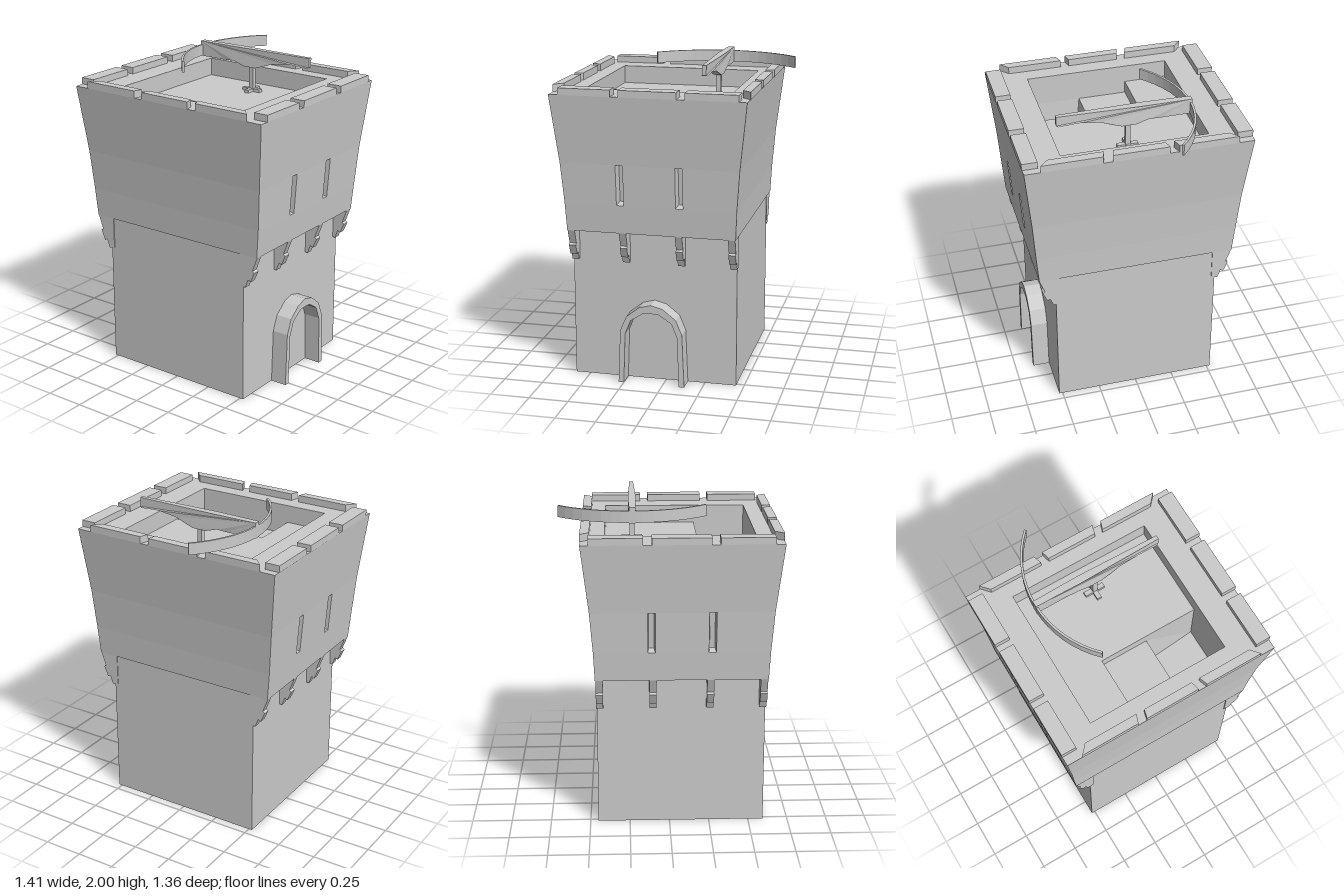
import * as THREE from 'three';

const ZC = 0.0725; // the tower stands slightly forward of the origin
const RIM = 1.835, FLOOR = 1.72, LEDGE = 1.64, PIT = 1.35;
const lerp = THREE.MathUtils.lerp;
const mat = new THREE.MeshStandardMaterial({ color: 0xcccccc, flatShading: true });

function add(parent, geometry, name) {
  const mesh = new THREE.Mesh(geometry, mat);
  mesh.name = name;
  parent.add(mesh);
  return mesh;
}

// Collects quads, each turned to face the given direction
class Quads {
  constructor() { this.pos = []; }
  quad(a, b, c, d, dir) {
    const [A, B, C, D] = [a, b, c, d].map((p) => new THREE.Vector3(...p));
    const n = C.clone().sub(A).cross(D.clone().sub(B));
    const order = n.dot(new THREE.Vector3(...dir)) > 0 ? [A, B, C, A, C, D] : [A, C, B, A, D, C];
    order.forEach((p) => this.pos.push(p.x, p.y, p.z));
  }
  flat(x0, x1, z0, z1, y, up = 1) {
    this.quad([x0, y, z0], [x1, y, z0], [x1, y, z1], [x0, y, z1], [0, up, 0]);
  }
  wallX(x, z0, z1, y0, y1, dir) {
    this.quad([x, y0, z0], [x, y0, z1], [x, y1, z1], [x, y1, z0], [dir, 0, 0]);
  }
  wallZ(z, x0, x1, y0, y1, dir) {
    this.quad([x0, y0, z], [x1, y0, z], [x1, y1, z], [x0, y1, z], [0, 0, dir]);
  }
  geometry() {
    const g = new THREE.BufferGeometry();
    g.setAttribute('position', new THREE.Float32BufferAttribute(this.pos, 3));
    g.computeVertexNormals();
    return g;
  }
}

// Polygon in x,z raised from y0 to y1
function prism(points, y0, y1) {
  const shape = new THREE.Shape(points.map((p) => new THREE.Vector2(...p)));
  return new THREE.ExtrudeGeometry(shape, { depth: y1 - y0, bevelEnabled: false })
    .rotateX(Math.PI / 2).translate(0, y1, 0);
}

// Polygon in x,y with thickness along z
function slab(points, z0, z1) {
  const shape = new THREE.Shape(points.map((p) => new THREE.Vector2(...p)));
  return new THREE.ExtrudeGeometry(shape, { depth: z1 - z0, bevelEnabled: false }).translate(0, 0, z0);
}

// Flared upper storey, with window slits cut in both x sides
function upperWalls() {
  const q = new Quads();
  const rows = [[0.975, 0.625, 0.53], [1.155, 0.64, 0.538], [1.41, 0.659, 0.557], [RIM, 0.703, 0.606]];
  const slits = [-0.135, -0.09, 0.235, 0.28];
  for (let i = 0; i < 3; i++) {
    const [y0, x0, d0] = rows[i], [y1, x1, d1] = rows[i + 1];
    for (const s of [1, -1]) {
      q.quad([-x0, y0, ZC + s * d0], [x0, y0, ZC + s * d0],
        [x1, y1, ZC + s * d1], [-x1, y1, ZC + s * d1], [0, 0, s]);
      const low = [ZC - d0, ...slits, ZC + d0], high = [ZC - d1, ...slits, ZC + d1];
      for (let j = 0; j < 5; j++) {
        const ring = [[s * x0, y0, low[j]], [s * x0, y0, low[j + 1]],
          [s * x1, y1, high[j + 1]], [s * x1, y1, high[j]]];
        if (i !== 1 || j % 2 === 0) { q.quad(...ring, [s, 0, 0]); continue; }
        // tapered recess of a window slit
        const mz = (low[j] + low[j + 1]) / 2, my = (y0 + y1) / 2;
        const inner = ring.map(([x, y, z]) => [x - s * 0.06, lerp(y, my, 0.1), lerp(z, mz, 0.3)]);
        q.quad(...inner, [s, 0, 0]);
        ring.forEach((p, k) => {
          const m = (k + 1) % 4;
          q.quad(p, ring[m], inner[m], inner[k],
            [0, my - (p[1] + ring[m][1]) / 2, mz - (p[2] + ring[m][2]) / 2]);
        });
      }
    }
  }
  q.flat(-0.625, 0.625, ZC - 0.53, ZC + 0.53, 0.975, -1);
  return q.geometry();
}

// Rim, sunken roof floor and stairwell
function roof() {
  const q = new Quads();
  const [x0, x1, z0, z1] = [-0.46, 0.455, -0.39, 0.525];
  const [X, Z0, Z1] = [0.703, ZC - 0.606, ZC + 0.606];
  q.flat(-X, x0, Z0, Z1, RIM);
  q.flat(x1, X, Z0, Z1, RIM);
  q.flat(x0, x1, Z0, z0, RIM);
  q.flat(x0, x1, z1, Z1, RIM);
  q.wallX(x0, z0, z1, FLOOR, RIM, 1);
  q.wallX(x1, z0, z1, FLOOR, RIM, -1);
  q.wallZ(z0, x0, x1, FLOOR, RIM, 1);
  q.wallZ(z1, x0, x1, FLOOR, RIM, -1);
  const [sx, px, sz] = [-0.19, 0.12, 0.195];
  q.flat(x0, sx, z0, z1, FLOOR);
  q.flat(sx, x1, z0, sz, FLOOR);
  // upper landing of the stairwell
  q.flat(sx, px, sz, z1, LEDGE);
  q.wallX(sx, sz, z1, LEDGE, FLOOR, 1);
  q.wallX(x1, sz, z1, LEDGE, FLOOR, -1);
  q.wallZ(sz, sx, x1, LEDGE, FLOOR, 1);
  q.wallZ(z1, sx, x1, LEDGE, FLOOR, -1);
  // pit with tapering walls
  const top = [[px, LEDGE, sz], [x1, LEDGE, sz], [x1, LEDGE, z1], [px, LEDGE, z1]];
  const bottom = [[0.15, PIT, 0.22], [x1, PIT, sz], [x1, PIT, z1], [0.15, PIT, 0.505]];
  const facing = [[0, 0, 1], [-1, 0, 0], [0, 0, -1], [1, 0, 0]];
  facing.forEach((dir, k) => {
    const m = (k + 1) % 4;
    q.quad(top[k], top[m], bottom[m], bottom[k], dir);
  });
  q.quad(...bottom, [0, 1, 0]);
  return q.geometry();
}

function addBattlements(group) {
  for (const s of [1, -1]) {
    // merlons along the x sides
    for (const [a, b] of [[-0.485, -0.16], [-0.11, 0.245], [0.295, 0.62]]) {
      add(group, prism([[s * 0.61, a], [s * 0.706, a], [s * 0.706, b], [s * 0.61, b]], RIM, 1.877), 'sideMerlon');
    }
    // merlons along the front and back, with slanted ends
    const outer = ZC + s * 0.608, inner = ZC + s * 0.552;
    add(group, prism([[-0.175, outer], [0.175, outer], [0.16, inner], [-0.16, inner]], RIM, 1.88), 'middleMerlon');
    for (const m of [1, -1]) {
      add(group, prism([[m * 0.605, outer], [m * 0.232, outer], [m * 0.213, inner], [m * 0.555, inner]], RIM, 1.88), 'cornerMerlon');
    }
  }
}

// Stepped brackets under the overhang
function addCorbels(group) {
  const profile = [[0.5, 0.975], [0.625, 0.975], [0.592, 0.885], [0.606, 0.875],
    [0.578, 0.81], [0.56, 0.82], [0.54, 0.765], [0.5, 0.775]];
  for (const s of [1, -1]) {
    for (const z of [-0.432, -0.103, 0.25, 0.578]) {
      add(group, slab(profile.map(([x, y]) => [s * x, y]), z - 0.022, z + 0.022), 'corbel');
    }
  }
}

// Door surround standing out from the +x wall
function archway() {
  const c = 0.072;
  const outer = [[0.212, 0], [0.198, 0.345], [0.158, 0.44], [0.075, 0.505], [0, 0.525]];
  const inner = [[0.178, 0], [0.166, 0.325], [0.13, 0.415], [0.05, 0.467], [0, 0.47]];
  const full = (half) => [...half, ...half.slice(0, -1).reverse().map(([z, y]) => [-z, y])];
  const points = [...full(outer), ...full(inner).reverse()];
  const shape = new THREE.Shape(points.map(([z, y]) => new THREE.Vector2(z, y)));
  return new THREE.ExtrudeGeometry(shape, { depth: 0.12, bevelEnabled: false })
    .rotateY(Math.PI / 2).translate(0.51, 0, c);
}

// Large crossbow mounted on the roof
function crossbow() {
  const g = new THREE.Group();
  g.name = 'crossbow';
  const z = -0.22;
  const stock = slab([[-0.4, 1.998], [-0.4, 1.9], [-0.2, 1.9], [-0.13, 1.905], [-0.05, 1.88], [0.04, 1.88],
    [0.1, 1.9], [0.17, 1.925], [0.3, 1.942], [0.43, 1.935], [0.44, 1.94], [0.44, 2], [-0.1, 2]], -0.5, 0.5);
  // swell the stock in the middle and narrow its tip
  const p = stock.attributes.position;
  for (let i = 0; i < p.count; i++) {
    const x = p.getX(i);
    const w = x > 0.435 ? 0.025 : Math.abs(x) < 0.15 ? 0.05 : 0.04;
    p.setZ(i, z + p.getZ(i) * w);
  }
  stock.computeVertexNormals();
  add(g, stock, 'stock');
  // bow limbs as a circular arc through the stock's end
  const r = 0.65, half = Math.asin(0.458 / r), cx = -0.4 + r, arc = [];
  for (const [radius, dir] of [[r, 1], [r - 0.014, -1]]) {
    for (let i = 0; i <= 16; i++) {
      const a = dir * lerp(-half, half, i / 16);
      arc.push([cx - radius * Math.cos(a), z + radius * Math.sin(a)]);
    }
  }
  add(g, prism(arc, 1.903, 1.975), 'bowLimbs');
  add(g, new THREE.BoxGeometry(0.03, 0.18, 0.03).translate(0, 1.8, z), 'post');
  add(g, new THREE.BoxGeometry(0.03, 0.02, 0.13).translate(0, 1.73, z), 'footLengthwise');
  add(g, new THREE.BoxGeometry(0.13, 0.02, 0.03).translate(0, 1.73, z), 'footCrosswise');
  return g;
}

export function createModel() {
  const tower = new THREE.Group();
  tower.name = 'tower';
  add(tower, new THREE.BoxGeometry(1.045, 0.98, 1.045).translate(0, 0.49, ZC), 'lowerWalls');
  add(tower, upperWalls(), 'upperWalls');
  add(tower, roof(), 'roof');
  addBattlements(tower);
  addCorbels(tower);
  add(tower, archway(), 'archway');
  tower.add(crossbow());
  return tower;
}
